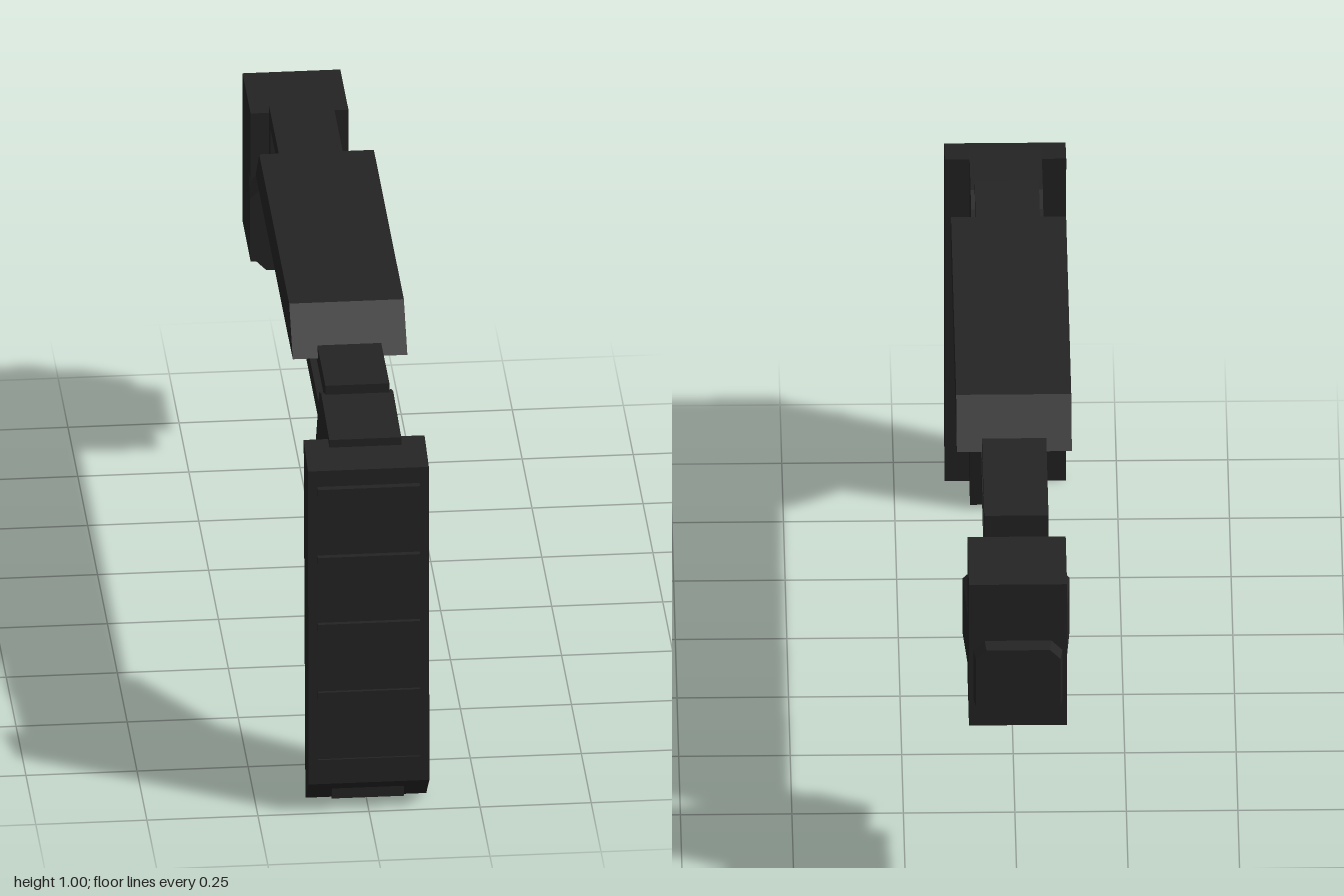
import * as THREE from 'three';

const darkPolymer = new THREE.MeshStandardMaterial({ color: 0x242424 });
darkPolymer.name = 'darkPolymer';

// Side profile given as [z, y] points, extruded symmetrically across x
function sideExtrude(points, halfWidth, holes = []) {
  const toVectors = (list) => list.map(([z, y]) => new THREE.Vector2(z, y));
  const shape = new THREE.Shape(toVectors(points));
  for (const hole of holes) shape.holes.push(new THREE.Path(toVectors(hole)));
  const geo = new THREE.ExtrudeGeometry(shape, { depth: halfWidth * 2, bevelEnabled: false });
  geo.translate(0, 0, -halfWidth);
  geo.rotateY(-Math.PI / 2);
  return geo;
}

const rect = (z0, z1, y0, y1) => [[z0, y0], [z1, y0], [z1, y1], [z0, y1]];

// Chamfered block along z whose cross-section scales from its back end to its front end
function chamferedBlock(w, h, c, cy, zBack, zFront, backScale, frontScale) {
  const shape = new THREE.Shape([
    [-w + c, -h], [w - c, -h], [w, -h + c], [w, h - c],
    [w - c, h], [-w + c, h], [-w, h - c], [-w, -h + c],
  ].map(([x, y]) => new THREE.Vector2(x, y)));
  const depth = zFront - zBack;
  const geo = new THREE.ExtrudeGeometry(shape, { depth, bevelEnabled: false });
  const p = geo.attributes.position;
  for (let i = 0; i < p.count; i++) {
    const s = THREE.MathUtils.lerp(backScale, frontScale, p.getZ(i) / depth);
    p.setXY(i, p.getX(i) * s, p.getY(i) * s);
  }
  geo.translate(0, cy, zBack);
  geo.computeVertexNormals();
  return geo;
}

export function createModel() {
  const model = new THREE.Group();
  model.name = 'foldingStock';
  const add = (name, geo, parent = model) => {
    const mesh = new THREE.Mesh(geo, darkPolymer);
    mesh.name = name;
    parent.add(mesh);
    return mesh;
  };

  // Shoulder pad with a slanted top and undercut bottom
  add('shoulderPad', sideExtrude(
    [[0.918, 0], [0.998, 0.072], [0.985, 0.848], [0.875, 0.873]], 0.136));

  // Horizontal grip ribs across the pad
  const ribs = new THREE.Group();
  ribs.name = 'gripRibs';
  model.add(ribs);
  for (const y of [0.8, 0.63, 0.463, 0.293, 0.125]) {
    const rib = add('gripRib', new THREE.BoxGeometry(0.23, 0.018, 0.03), ribs);
    rib.position.set(0, y, 0.987);
  }

  // Angled upright carrying the pad
  add('upright', sideExtrude([
    [0.8, 0.01], [0.968, 0.02], [0.968, 0.046], [0.905, 0.3], [0.905, 0.885],
    [0.7, 0.9], [0.65, 0.88], [0.57, 0.73], [0.74, 0.515],
  ], 0.081));

  // Skeleton bar with two long openings
  add('skeletonBar', sideExtrude(rect(-0.73, 0.705, 0.752, 0.922), 0.072, [
    rect(0.035, 0.66, 0.795, 0.88),
    rect(-0.685, -0.055, 0.795, 0.88),
  ]));

  // Wide cheek rest on top of the bar
  add('cheekRest', sideExtrude(
    [[-0.42, 0.9], [0.52, 0.9], [0.43, 0.995], [-0.33, 0.995]], 0.129));

  // Hinge: main block, tapered knuckle, and rear mounting boss
  const hinge = new THREE.Group();
  hinge.name = 'hinge';
  model.add(hinge);
  const block = add('hingeBlock', new THREE.BoxGeometry(0.22, 0.37, 0.205), hinge);
  block.position.set(0, 0.7, -0.8625);
  add('hingeKnuckle', chamferedBlock(0.12, 0.108, 0.037, 0.647, -0.83, -0.665, 0.91, 1), hinge);
  add('mountingBoss', chamferedBlock(0.1, 0.09, 0.025, 0.648, -1, -0.96, 0.95, 1), hinge);

  return model;
}
